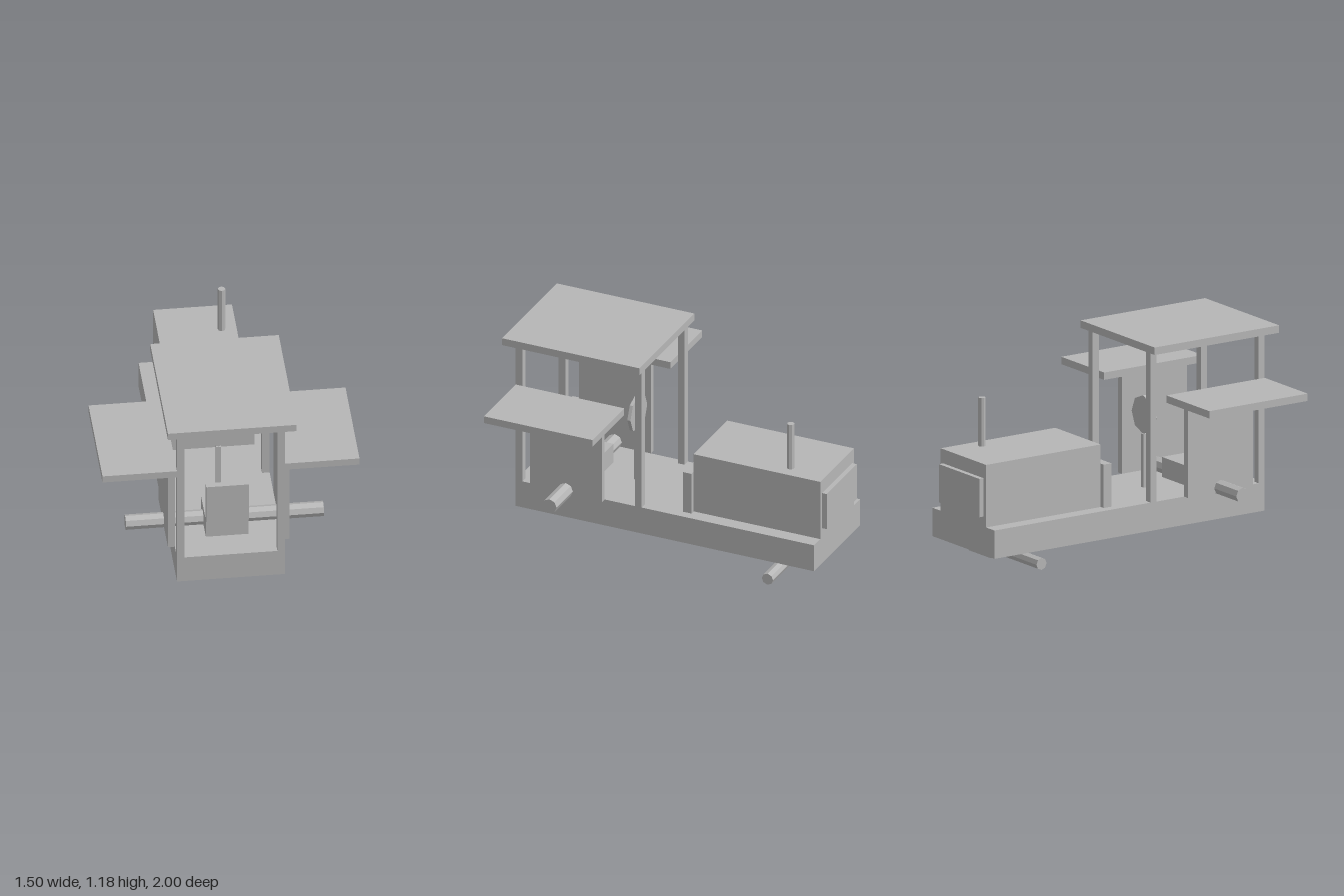
import * as THREE from 'three';

export function createModel() {
  const model = new THREE.Group();
  model.name = 'tractor';
  const grey = new THREE.MeshStandardMaterial({ color: 0xb6b6b6, flatShading: true });
  grey.name = 'light grey';

  const add = (name, geometry) => {
    const mesh = new THREE.Mesh(geometry, grey);
    mesh.name = name;
    model.add(mesh);
    return mesh;
  };

  // Box given by its lower and upper limits on each axis
  const box = (name, [x0, x1], [y0, y1], [z0, z1]) => {
    const mesh = add(name, new THREE.BoxGeometry(x1 - x0, y1 - y0, z1 - z0));
    mesh.position.set((x0 + x1) / 2, (y0 + y1) / 2, (z0 + z1) / 2);
    return mesh;
  };

  // Eight-sided rod along the x, y or z axis
  const rod = (name, radius, length, axis, position) => {
    const geometry = new THREE.CylinderGeometry(radius, radius, length, 8);
    if (axis === 'x') geometry.rotateZ(Math.PI / 2);
    if (axis === 'z') geometry.rotateX(Math.PI / 2);
    const mesh = add(name, geometry);
    mesh.position.set(...position);
    return mesh;
  };

  // Chassis, engine hood, dashboard and grille
  box('chassis', [-0.315, 0.315], [0.07, 0.24], [-0.97, 0.94]);
  box('engineHood', [-0.23, 0.23], [0.24, 0.615], [-0.97, -0.16]);
  box('dashboard', [-0.26, 0.26], [0.24, 0.5], [-0.16, -0.105]);
  box('grille', [-0.205, 0.205], [0.3, 0.53], [-1, -0.97]);
  rod('exhaustPipe', 0.022, 0.29, 'y', [0.142, 0.76, -0.74]);

  // Axles
  box('axleBracket', [-0.115, 0.115], [0.01, 0.07], [-0.85, -0.62]);
  rod('narrowAxle', 0.036, 0.924, 'x', [0, 0.037, -0.74]);
  rod('wideAxle', 0.045, 1.156, 'x', [0, 0.27, 0.6]);

  // Seat and steering
  box('seatBase', [-0.125, 0.125], [0.24, 0.36], [0.52, 0.755]);
  box('seatBack', [-0.125, 0.125], [0.36, 0.615], [0.74, 0.78]);
  box('steeringColumn', [-0.015, 0.015], [0.24, 0.56], [0.294, 0.324]);
  rod('steeringWheel', 0.115, 0.02, 'z', [0, 0.675, 0.309]);

  // Fenders and canopy posts, mirrored
  for (const side of [-1, 1]) {
    const label = side > 0 ? 'left' : 'right';
    const span = (a, b) => (side > 0 ? [a, b] : [-b, -a]);
    box(label + 'FenderWall', span(0.315, 0.355), [0.24, 0.822], [0.37, 0.83]);
    box(label + 'FenderTop', span(0.315, 0.75), [0.822, 0.866], [0.245, 0.94]);
    for (const z of [0.133, 0.897]) {
      box(label + 'CanopyPost', span(0.271, 0.315), [0.24, 1.14], [z, z + 0.043]);
    }
  }

  // Canopy
  box('canopyRoof', [-0.375, 0.375], [1.14, 1.185], [0.12, 1]);

  return model;
}
